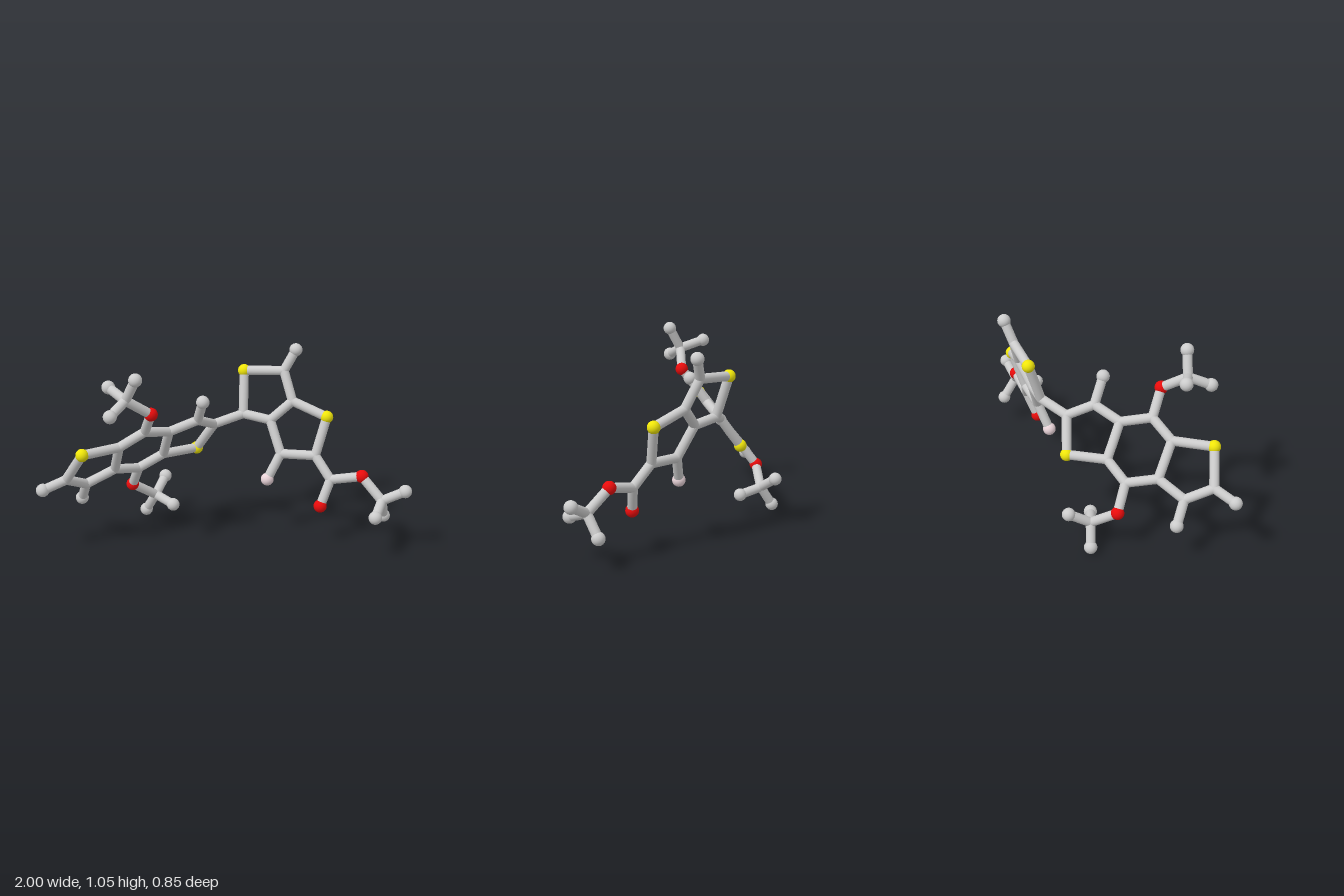
import * as THREE from 'three';

const BOND_RADIUS = 0.026;
const BALL_RADIUS = 0.036;

// Joints (hidden inside the sticks): name -> position
const joints = {
  // fused six-sided ring
  top: [-0.42, 0.665, 0.105], upLeft: [-0.558, 0.583, 0.108], upRight: [-0.285, 0.625, 0],
  bottom: [-0.45, 0.375, -0.125], lowRight: [-0.312, 0.455, -0.122], lowLeft: [-0.583, 0.413, -0.017],
  // five-sided rings on either side of it
  leftLow: [-0.74, 0.345, 0.015], leftEnd: [-0.845, 0.415, 0.125],
  rightHigh: [-0.127, 0.675, -0.033], rightEnd: [-0.027, 0.613, -0.143],
  // tilted pair of five-sided rings
  link: [0.138, 0.658, -0.174], fuseLow: [0.28, 0.64, -0.103], fuseHigh: [0.4, 0.75, -0.09],
  crown: [0.36, 0.905, -0.16], tail: [0.51, 0.48, 0.052], lowCorner: [0.33, 0.47, -0.022],
  // branching centres
  carbonyl: [0.585, 0.365, 0.125], upperBranch: [-0.52, 0.892, 0.258],
  lowerBranch: [-0.352, 0.147, -0.285], esterBranch: [0.842, 0.29, 0.27],
};

// Balls that are visibly larger than the sticks, grouped by kind
const balls = {
  yellowBall: { color: 0xf0e60a, radius: 0.035, at: {
    sLeft: [-0.753, 0.586, 0.22], sRight: [-0.118, 0.445, -0.232],
    sHigh: [0.15, 0.886, -0.248], sTail: [0.575, 0.687, 0.013] } },
  redBall: { color: 0xe80c0c, radius: BALL_RADIUS, at: {
    oUpper: [-0.388, 0.795, 0.203], oLower: [-0.484, 0.243, -0.217],
    oDouble: [0.527, 0.223, 0.154], oEster: [0.745, 0.402, 0.188] } },
  pinkBall: { color: 0xe8d3d8, radius: BALL_RADIUS, at: { pink: [0.255, 0.328, -0.006] } },
  greyBall: { color: 0xcccccc, radius: BALL_RADIUS, at: {
    leftTip: [-0.97, 0.37, 0.152], leftLowTip: [-0.767, 0.232, -0.068],
    rightHighTip: [-0.105, 0.805, 0.055], crownTip: [0.425, 1.02, -0.167],
    upperA: [-0.468, 1.014, 0.304], upperB: [-0.605, 0.932, 0.148], upperC: [-0.602, 0.838, 0.353],
    lowerA: [-0.405, 0.037, -0.337], lowerB: [-0.258, 0.119, -0.192], lowerC: [-0.29, 0.221, -0.387],
    esterA: [0.96, 0.352, 0.302], esterB: [0.783, 0.243, 0.391], esterC: [0.87, 0.174, 0.198] } },
};

// Chains of sticks; each consecutive pair is joined
const chains = {
  sixRing: 'top upRight lowRight bottom lowLeft upLeft top',
  leftRing: 'upLeft sLeft leftEnd leftLow lowLeft',
  rightRing: 'upRight rightHigh rightEnd sRight lowRight',
  ringLink: 'rightEnd link',
  highRing: 'link sHigh crown fuseHigh fuseLow link',
  tailRing: 'fuseHigh sTail tail lowCorner fuseLow',
  leftTipStick: 'leftEnd leftTip',
  leftLowStick: 'leftLow leftLowTip',
  rightHighStick: 'rightHigh rightHighTip',
  crownStick: 'crown crownTip',
  pinkStick: 'lowCorner pink',
  upperArm: 'top oUpper upperBranch upperA',
  upperFork: 'upperB upperBranch upperC',
  lowerArm: 'bottom oLower lowerBranch lowerA',
  lowerFork: 'lowerB lowerBranch lowerC',
  esterArm: 'tail carbonyl oEster esterBranch esterA',
  esterFork: 'esterB esterBranch esterC',
  doubleStick: 'carbonyl oDouble',
};

export function createModel() {
  const model = new THREE.Group();
  model.name = 'ballAndStickModel';
  const grey = new THREE.MeshStandardMaterial({ color: 0xcccccc });
  const points = {};

  const addBall = (parent, name, position, radius, material) => {
    const mesh = new THREE.Mesh(new THREE.SphereGeometry(radius, 24, 16), material);
    mesh.name = name;
    mesh.position.copy(position);
    parent.add(mesh);
  };

  // Rounded joints between sticks
  const jointGroup = new THREE.Group();
  jointGroup.name = 'joints';
  model.add(jointGroup);
  for (const [name, p] of Object.entries(joints)) {
    points[name] = new THREE.Vector3(...p);
    addBall(jointGroup, 'joint', points[name], BOND_RADIUS, grey);
  }

  // Coloured and grey balls
  for (const [kind, { color, radius, at }] of Object.entries(balls)) {
    const group = new THREE.Group();
    group.name = kind + 's';
    model.add(group);
    const material = new THREE.MeshStandardMaterial({ color });
    for (const [name, p] of Object.entries(at)) {
      points[name] = new THREE.Vector3(...p);
      addBall(group, kind, points[name], radius, material);
    }
  }

  // Sticks
  const up = new THREE.Vector3(0, 1, 0);
  for (const [name, path] of Object.entries(chains)) {
    const group = new THREE.Group();
    group.name = name;
    model.add(group);
    const stops = path.split(' ').map((key) => points[key]);
    for (let i = 1; i < stops.length; i++) {
      const along = stops[i].clone().sub(stops[i - 1]);
      const stick = new THREE.Mesh(
        new THREE.CylinderGeometry(BOND_RADIUS, BOND_RADIUS, along.length(), 20), grey);
      stick.name = 'stick';
      stick.position.copy(stops[i]).add(stops[i - 1]).multiplyScalar(0.5);
      stick.quaternion.setFromUnitVectors(up, along.normalize());
      group.add(stick);
    }
  }
  return model;
}
